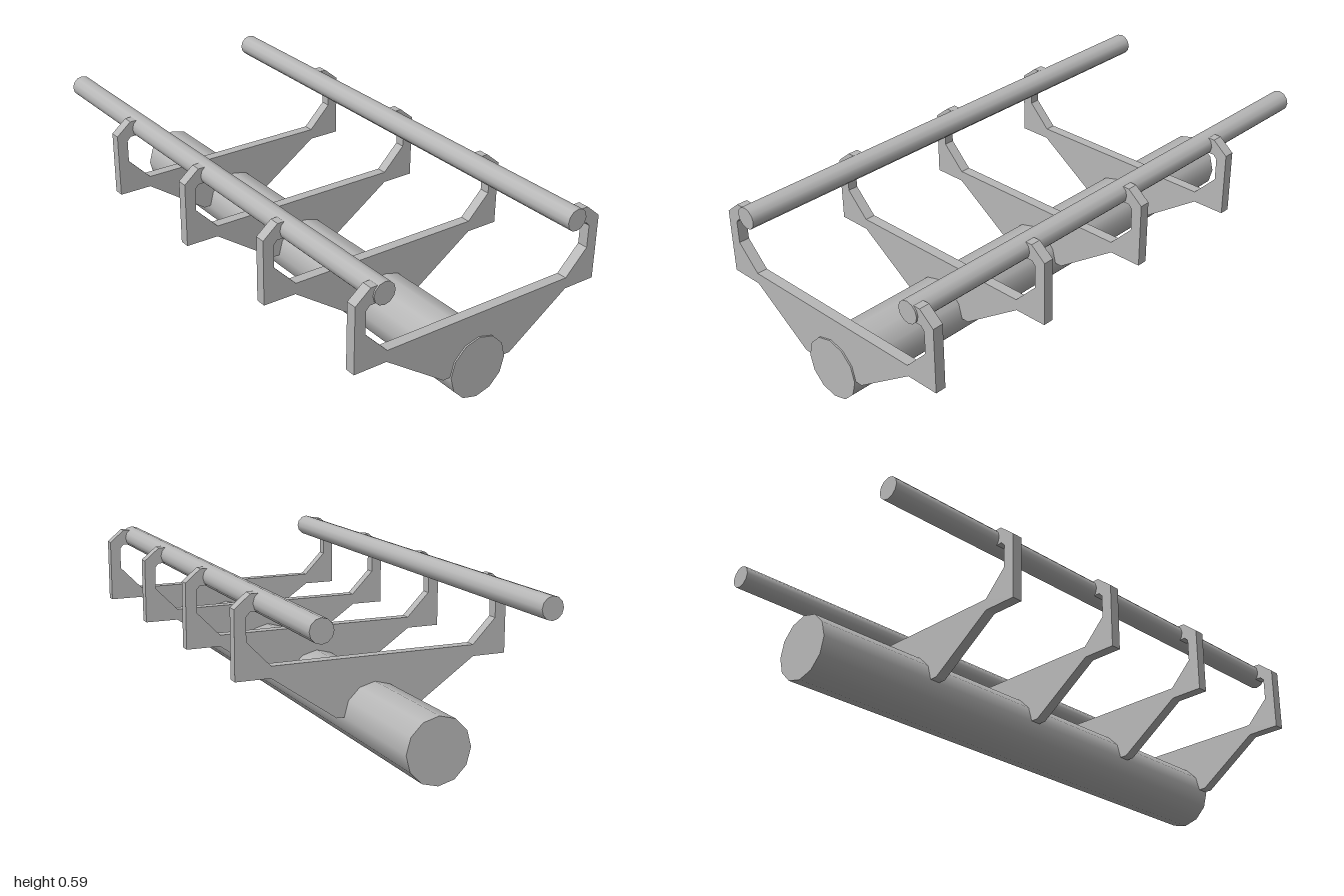
import * as THREE from 'three';

const grey = new THREE.MeshStandardMaterial({ color: 0xb8b8b8 });
grey.name = 'grey';

// Round bar running the full length along z
function bar(name, radius, x, y) {
  const geometry = new THREE.CylinderGeometry(radius, radius, 2, 12);
  geometry.rotateX(Math.PI / 2);
  const mesh = new THREE.Mesh(geometry, grey);
  mesh.name = name;
  mesh.position.set(x, y, 0);
  return mesh;
}

// Right half of the bracket outline, from the bottom round to the top of the web
const half = [
  [0.145, 0.118], [0.387, 0.285], [0.515, 0.285], [0.515, 0.53],
  [0.457, 0.578], [0.415, 0.578], [0.415, 0.517], [0.459, 0.517],
  [0.473, 0.502], [0.473, 0.417], [0.385, 0.327],
];

function bracketGeometry(depth) {
  const mirrored = half.map(([x, y]) => [-x, y]).reverse();
  const outline = [...half, ...mirrored].map(([x, y]) => new THREE.Vector2(x, y));
  return new THREE.ExtrudeGeometry(new THREE.Shape(outline), { depth, bevelEnabled: false });
}

export function createModel() {
  const model = new THREE.Group();
  model.name = 'railCradle';

  // Main tube and the two upper rails
  model.add(bar('mainTube', 0.117, 0, 0.117));
  model.add(bar('leftRail', 0.0415, 0.407, 0.545));
  model.add(bar('rightRail', 0.0415, -0.407, 0.545));

  // Evenly spaced cross brackets hooking onto the rails
  const depth = 0.04;
  const geometry = bracketGeometry(depth);
  for (let i = 0; i < 4; i++) {
    const bracket = new THREE.Mesh(geometry, grey);
    bracket.name = `crossBracket${i + 1}`;
    bracket.position.z = 0.994 - depth - i * 0.498;
    model.add(bracket);
  }
  return model;
}
